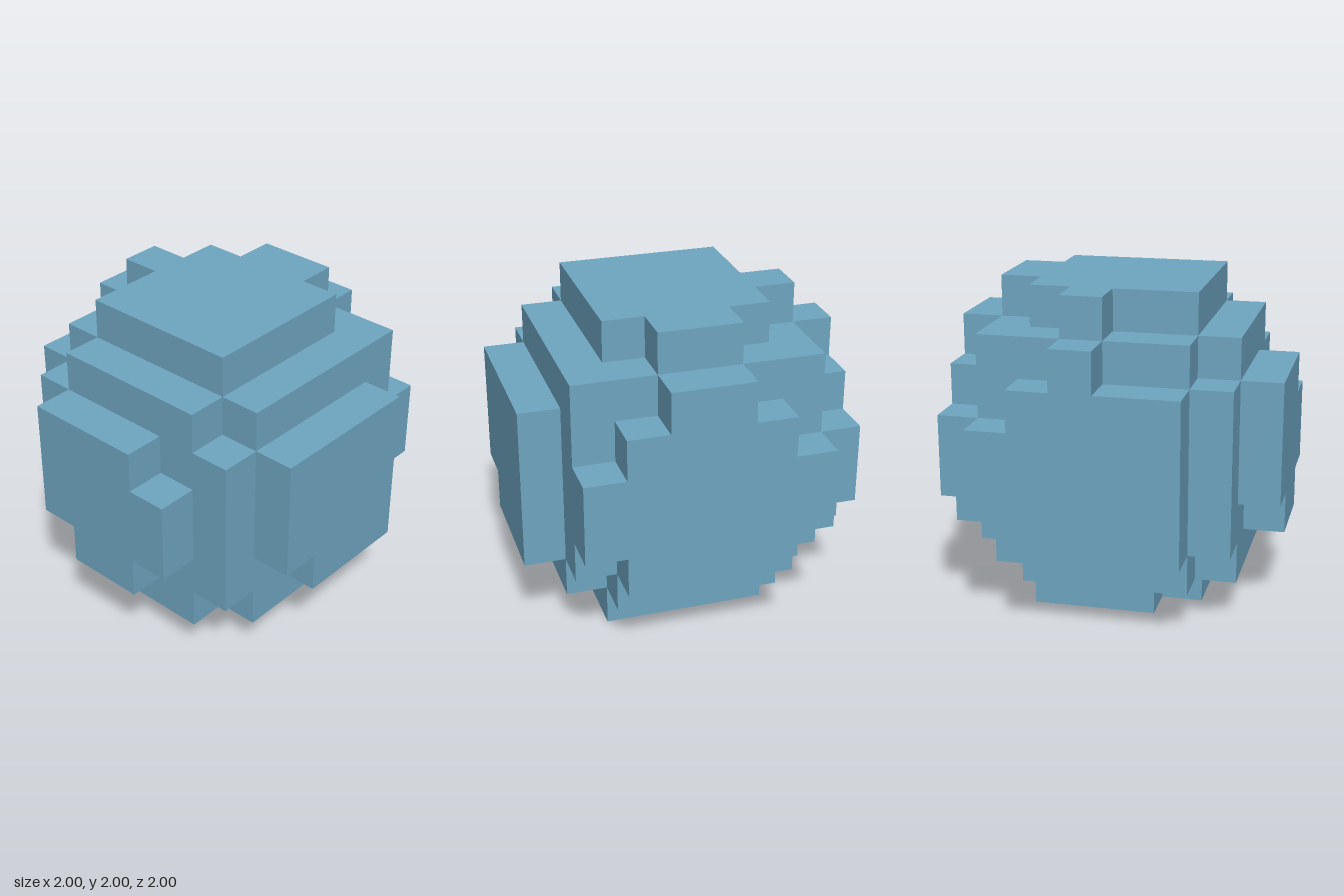
import * as THREE from 'three';

const CELL = 0.25; // all outlines below are in grid cells

const stone = new THREE.MeshStandardMaterial({ color: 0x6ea5c0 });
stone.name = 'blue stone';

// Extrudes a stepped outline along one axis, between two cell positions.
// Outlines are (x, z) for axis y, (x, y) for axis z and (z, y) for axis x.
function slab(name, axis, from, to, outline) {
  const points = outline.map(([a, b]) => new THREE.Vector2(
    (axis === 'x' ? -a : a) * CELL,
    (axis === 'y' ? -b : b) * CELL,
  ));
  const geometry = new THREE.ExtrudeGeometry(new THREE.Shape(points), {
    depth: (to - from) * CELL,
    bevelEnabled: false,
  });
  if (axis === 'y') geometry.rotateX(-Math.PI / 2);
  if (axis === 'x') geometry.rotateY(Math.PI / 2);
  const mesh = new THREE.Mesh(geometry, stone);
  mesh.name = name;
  mesh.position[axis] = from * CELL;
  return mesh;
}

export function createModel() {
  const group = new THREE.Group();
  group.name = 'blockBoulder';

  group.add(
    // Stacked body, bottom to top
    slab('bottomPlate', 'y', 0, 1, [
      [-2, -2], [2, -2], [2, 1], [1, 1], [1, 2], [-1, 2], [-1, 1], [-2, 1],
    ]),
    slab('lowerLayer', 'y', 1, 2, [
      [-2, -3], [2, -3], [2, -2], [3, -2], [3, 2], [2, 2],
      [2, 3], [-2, 3], [-2, 2], [-3, 2], [-3, -2], [-2, -2],
    ]),
    slab('core', 'y', 2, 6, [[-3, -3], [3, -3], [3, 3], [-3, 3]]),
    slab('upperLayer', 'y', 6, 7, [
      [-3, -3], [3, -3], [3, 2], [2, 2], [2, 3], [-2, 3], [-2, 2], [-3, 2],
    ]),
    slab('topPlate', 'y', 7, 8, [
      [-1, -3], [1, -3], [1, -2], [2, -2], [2, 2], [-2, 2],
      [-2, 0], [-3, 0], [-3, -1], [-2, -1], [-2, -2], [-1, -2],
    ]),

    // Raised plates on the four sides
    slab('frontPlate', 'z', 3, 4, [
      [-2, 6], [1, 6], [1, 5], [2, 5], [2, 3],
      [1, 3], [1, 2], [-1, 2], [-1, 3], [-2, 3],
    ]),
    slab('backPlate', 'z', -4, -3, [
      [-3, 3], [-2, 3], [-2, 2], [2, 2], [2, 3], [3, 3], [3, 5], [2, 5],
      [2, 6], [1, 6], [1, 7], [-1, 7], [-1, 6], [-2, 6], [-2, 5], [-3, 5],
    ]),
    slab('leftPlate', 'x', 3, 4, [
      [2, 6], [-2, 6], [-2, 2], [1, 2], [1, 3], [2, 3],
    ]),
    slab('rightPlate', 'x', -4, -3, [
      [-3, 3], [-3, 5], [-2, 5], [-2, 6], [-1, 6], [-1, 7],
      [0, 7], [0, 6], [2, 6], [2, 2], [-2, 2], [-2, 3],
    ]),
  );

  return group;
}
